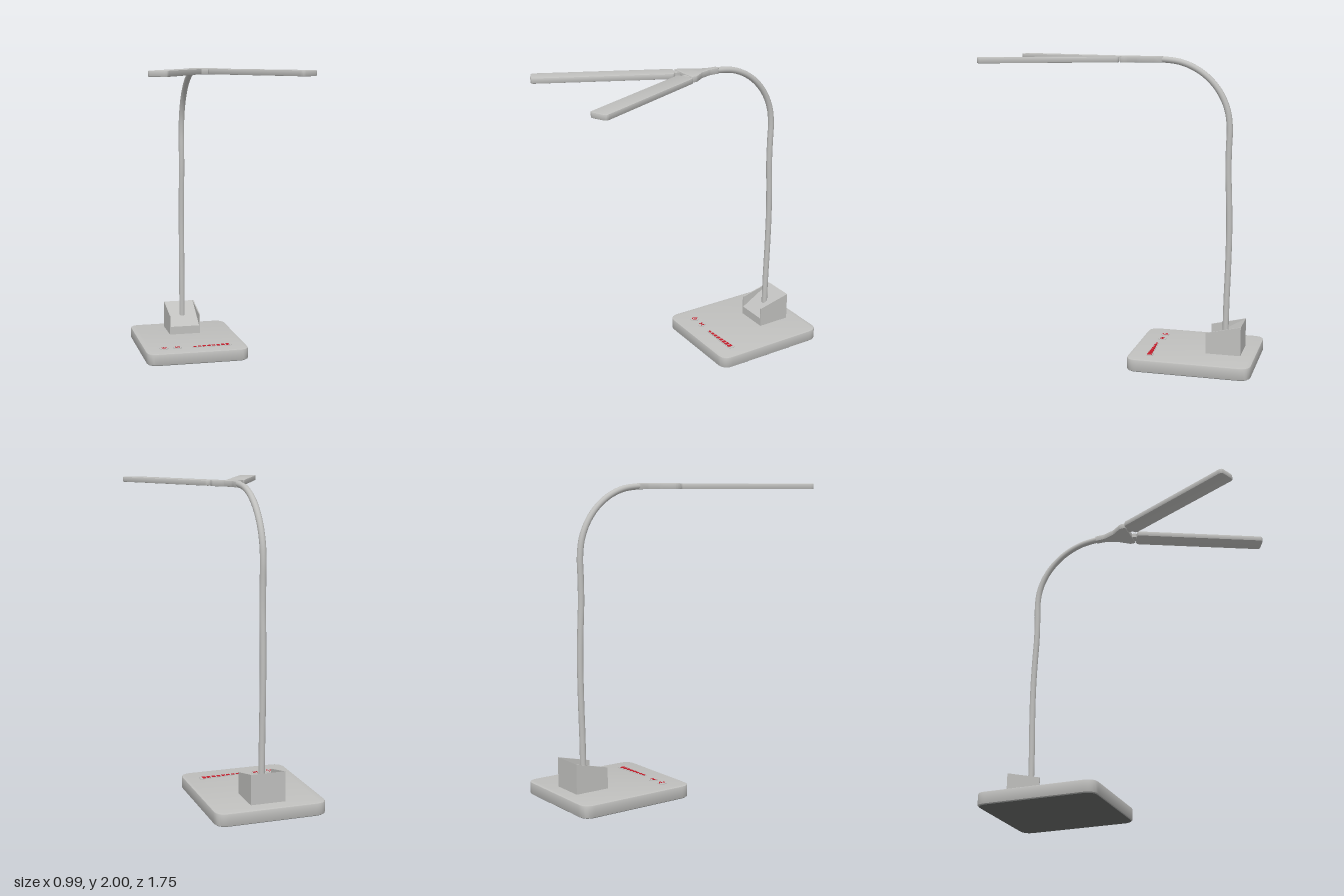
import * as THREE from 'three';
import { toCreasedNormals } from 'three/addons/utils/BufferGeometryUtils.js';

const mat = (name, color) => {
  const m = new THREE.MeshStandardMaterial({ color });
  m.name = name;
  return m;
};

// Closed outline with every corner rounded by radius r
function roundedShape(pts, r) {
  const v = pts.map(p => new THREE.Vector2(p[0], p[1]));
  const s = new THREE.Shape();
  v.forEach((c, i) => {
    const toward = q => c.clone().add(q.clone().sub(c).setLength(Math.min(r, q.distanceTo(c) * 0.45)));
    const a = toward(v[(i + v.length - 1) % v.length]);
    const b = toward(v[(i + 1) % v.length]);
    if (i === 0) s.moveTo(a.x, a.y); else s.lineTo(a.x, a.y);
    s.quadraticCurveTo(c.x, c.y, b.x, b.y);
  });
  s.closePath();
  return s;
}

// Flat slab from an outline of [x, z] points, between heights y0 and y1
function slab(pts, r, y0, y1, bevel = 0) {
  const shape = roundedShape(pts.map(([x, z]) => [x, -z]), r);
  const g = new THREE.ExtrudeGeometry(shape, {
    depth: y1 - y0 - 2 * bevel, curveSegments: 8, bevelEnabled: bevel > 0,
    bevelSize: bevel, bevelThickness: bevel, bevelOffset: -bevel, bevelSegments: 2,
  });
  g.rotateX(-Math.PI / 2).translate(0, y0 + bevel, 0);
  return toCreasedNormals(g, 0.6);
}

// Side profile of [z, y] points, extruded from x0 to x1
function sideExtrude(pts, x0, x1) {
  const s = new THREE.Shape(pts.map(([z, y]) => new THREE.Vector2(-z, y)));
  const g = new THREE.ExtrudeGeometry(s, { depth: x1 - x0, bevelEnabled: false });
  return g.rotateY(Math.PI / 2).translate(x0, 0, 0);
}

const rect = (x0, x1, z0, z1) => [[x0, z0], [x1, z0], [x1, z1], [x0, z1]];

export function createModel() {
  const root = new THREE.Group();
  const grey = mat('light grey', 0xc0c0be);
  const dark = mat('dark grey', 0x686a69);
  const red = mat('red', 0xc81e2c);
  const add = (name, geo, material = grey, parent = root) => {
    const m = new THREE.Mesh(geo, material);
    m.name = name;
    parent.add(m);
    return m;
  };

  // Base with a dark pad underneath
  add('base', slab(rect(-0.357, 0.357, -0.88, -0.075), 0.075, 0.004, 0.083, 0.006));
  add('basePad', slab(rect(-0.348, 0.348, -0.871, -0.084), 0.07, 0, 0.008), dark);

  // Stem block: sloping floor between two thin cheeks
  add('stemBlock', sideExtrude(
    [[-0.555, 0.08], [-0.785, 0.08], [-0.785, 0.275], [-0.555, 0.14]], -0.112, 0.112));
  for (const x of [-0.112, 0.104]) {
    add('stemBlockCheek', sideExtrude([[-0.555, 0.14], [-0.785, 0.275], [-0.555, 0.22]], x, x + 0.008));
  }

  // Flexible neck: wavy upright followed by a quarter bend
  const path = [[-0.667, 0.18], [-0.67, 0.4], [-0.677, 0.65], [-0.68, 0.9], [-0.675, 1.1],
    [-0.668, 1.27], [-0.669, 1.42]].map(([z, y]) => new THREE.Vector3(0, y, z));
  for (let i = 0; i <= 6; i++) {
    const a = (i / 6) * Math.PI / 2;
    path.push(new THREE.Vector3(0, 1.55 + 0.43 * Math.sin(a), -0.235 - 0.437 * Math.cos(a)));
  }
  path.push(new THREE.Vector3(0, 1.98, -0.2));
  add('neck', new THREE.TubeGeometry(new THREE.CatmullRomCurve3(path), 90, 0.02, 14));

  // Flared yoke joining the neck to both arms
  const half = [[0.02, -0.235], [0.022, -0.165], [0.052, -0.085], [0.107, -0.012], [0.107, 0.026]];
  const outline = [...half, ...half.map(([x, z]) => [-x, z]).reverse()];
  add('yoke', slab(outline, 0.012, 1.962, 2, 0.003));

  // Hinges and the two light arms
  for (const s of [1, -1]) {
    const side = s > 0 ? 'left' : 'right';
    const mirror = pts => pts.map(([x, z]) => [s * x, z]);
    add(side + 'Hinge', slab(mirror(rect(0.035, 0.09, 0.01, 0.056)), 0.012, 1.968, 1.996));
    add(side + 'Arm', slab(
      mirror([[0.125, 0.02], [0.015, 0.071], [0.394, 0.88], [0.503, 0.829]]), 0.025, 1.963, 1.998, 0.004));
  }

  // Touch controls, as thin plates on the base
  const controls = new THREE.Group();
  controls.name = 'touchControls';
  root.add(controls);
  const top = 0.083;
  const disc = (x, name) => {
    const g = new THREE.CylinderGeometry(0.03, 0.03, 0.003, 28).translate(x, top + 0.0015, -0.21);
    add(name, g, grey, controls);
  };
  const mark = (name, x0, x1, z0, z1) => add(name,
    new THREE.BoxGeometry(x1 - x0, 0.003, z1 - z0)
      .translate((x0 + x1) / 2, top + 0.0045, (z0 + z1) / 2), red, controls);

  // Power button: open ring with a bar
  disc(-0.222, 'powerButton');
  const ring = new THREE.RingGeometry(0.013, 0.019, 24, 1, Math.PI / 2 + 0.5, Math.PI * 2 - 1);
  add('powerRing', ring.rotateX(-Math.PI / 2).translate(-0.222, top + 0.006, -0.21), red, controls);
  mark('powerBar', -0.2245, -0.2195, -0.232, -0.21);

  // Mode button: two bars and a small bridge
  disc(-0.127, 'modeButton');
  mark('modeBar', -0.142, -0.137, -0.223, -0.197);
  mark('modeBar', -0.117, -0.112, -0.223, -0.197);
  mark('modeBridge', -0.134, -0.12, -0.214, -0.208);

  // Brightness slider: tapered strip with growing steps
  add('sliderStrip', slab([[-0.025, -0.208], [0.258, -0.235], [0.258, -0.188], [-0.025, -0.188]],
    0.012, top - 0.002, top + 0.003), grey, controls);
  for (let i = 0; i < 8; i++) {
    const x = -0.016 + i * 0.0335;
    mark('sliderStep', x, x + 0.022, -0.207 - i * 0.0025, -0.194);
  }
  return root;
}
